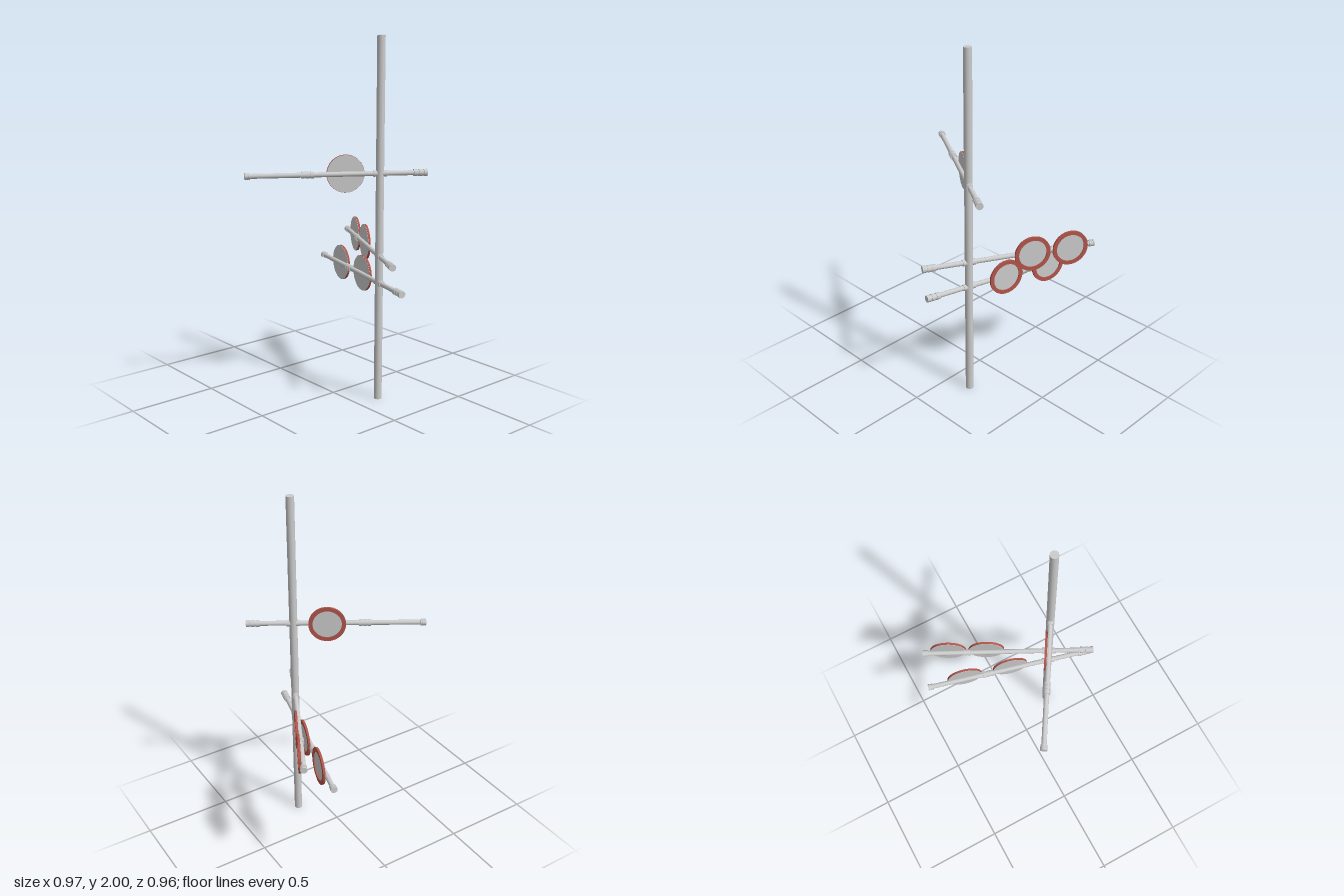
import * as THREE from 'three';
import { toCreasedNormals } from 'three/addons/utils/BufferGeometryUtils.js';

const grey = new THREE.MeshStandardMaterial({ color: 0xcccccc });
const red = new THREE.MeshStandardMaterial({ color: 0xb2554a });

// Cylinder lying along local x, from x0 to x1
function rod(parent, name, radius, x0, x1) {
  const geometry = new THREE.CylinderGeometry(radius, radius, x1 - x0, 20);
  geometry.rotateZ(-Math.PI / 2);
  const mesh = new THREE.Mesh(geometry, grey);
  mesh.name = name;
  mesh.position.x = (x0 + x1) / 2;
  parent.add(mesh);
}

// Row of evenly spaced bands between x0 and x1
function bands(parent, name, radius, x0, x1, count) {
  const group = new THREE.Group();
  group.name = name;
  const pitch = (x1 - x0) / (count - 0.3);
  rod(group, 'bandCore', radius - 0.003, x0, x1);
  for (let i = 0; i < count; i++) {
    const start = x0 + i * pitch;
    rod(group, 'band', radius, start, start + pitch * 0.7);
  }
  parent.add(group);
}

// Flat rim with a round opening, facing +z
function rimGeometry(outer, inner, depth) {
  const shape = new THREE.Shape().absarc(0, 0, outer, 0, Math.PI * 2, false);
  shape.holes.push(new THREE.Path().absarc(0, 0, inner, 0, Math.PI * 2, true));
  const geometry = new THREE.ExtrudeGeometry(shape, { depth, bevelEnabled: false, curveSegments: 40 });
  return toCreasedNormals(geometry, Math.PI / 5);
}

// Round sign: grey plate against the arm, red rim on the outer face
function createSign(x) {
  const sign = new THREE.Group();
  sign.name = 'roundSign';
  const plateGeometry = new THREE.CylinderGeometry(0.101, 0.101, 0.007, 40);
  plateGeometry.rotateX(Math.PI / 2);
  const plate = new THREE.Mesh(plateGeometry, grey);
  plate.name = 'signPlate';
  plate.position.z = 0.0115;
  const rim = new THREE.Mesh(rimGeometry(0.102, 0.08, 0.012), red);
  rim.name = 'signRim';
  rim.position.z = 0.0095;
  sign.add(plate, rim);
  sign.position.x = x;
  return sign;
}

// Arm through the pole; local +x is the long end
function createArm({ y, dir, joint, jointLength, signs }) {
  const arm = new THREE.Group();
  arm.name = 'signArm';
  rod(arm, 'armTube', 0.0135, -0.25, 0.715);
  rod(arm, 'poleClamp', 0.0175, -0.036, 0.036);
  bands(arm, 'rearEndBands', 0.0195, -0.257, -0.183, 3);
  bands(arm, 'jointBands', 0.0185, joint - jointLength / 2, joint + jointLength / 2, jointLength > 0.05 ? 3 : 2);
  bands(arm, 'tipBands', 0.0185, 0.692, 0.722, 3);
  signs.forEach((x) => arm.add(createSign(x)));
  arm.position.y = y;
  arm.rotation.y = Math.atan2(-dir[1], dir[0]);
  return arm;
}

export function createModel() {
  const model = new THREE.Group();
  model.name = 'signPost';

  // Upright pole
  const pole = new THREE.Mesh(new THREE.CylinderGeometry(0.022, 0.022, 2, 24), grey);
  pole.name = 'pole';
  pole.position.y = 1;
  model.add(pole);

  // Three arms, dir is the heading (x, z) of the long end
  const arms = [
    { y: 1.275, dir: [-0.849, -0.528], joint: 0.39, jointLength: 0.066, signs: [0.184] },
    { y: 0.82, dir: [0.458, -0.889], joint: 0.467, jointLength: 0.035, signs: [0.357, 0.576] },
    { y: 0.67, dir: [0.256, -0.967], joint: 0.363, jointLength: 0.06, signs: [0.226, 0.5] },
  ];
  arms.forEach((spec) => model.add(createArm(spec)));

  model.position.set(0.14, 0, 0.22);
  const root = new THREE.Group();
  root.add(model);
  return root;
}
